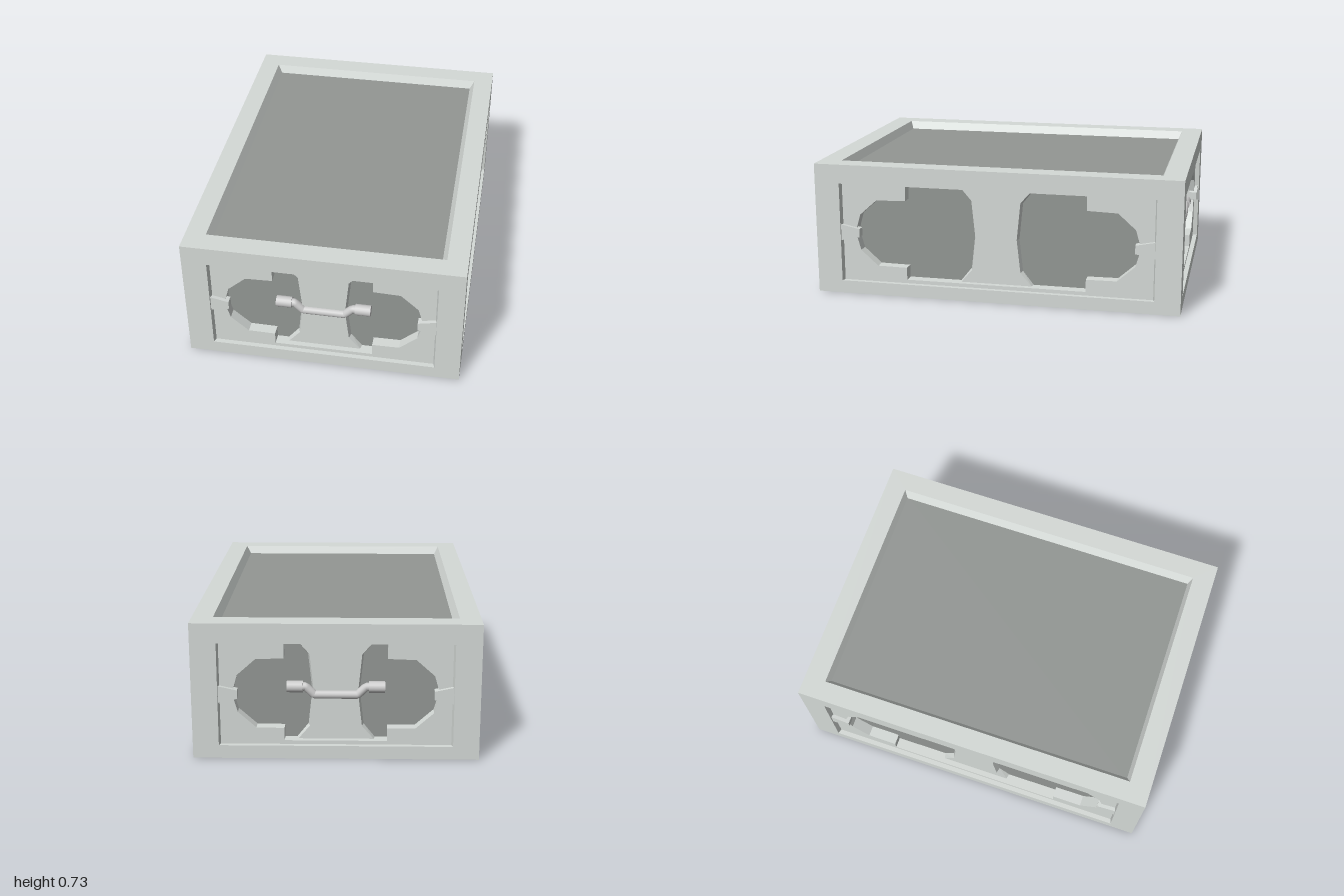
import * as THREE from 'three';
import { mergeVertices } from 'three/addons/utils/BufferGeometryUtils.js';

const W = 1.48, H = 0.725, D = 2, MID = 0.345;
// Depths below the outer wall: surround, centre panel, dark body
const SURROUND = 0.026, PANEL = 0.055, CORE = 0.085;
const light = new THREE.MeshStandardMaterial({ color: 0xd5dad7 });
const dark = new THREE.MeshStandardMaterial({ color: 0x939794 });
const metal = new THREE.MeshStandardMaterial({ color: 0xcccccc });

function add(parent, name, geometry, material = light) {
  const mesh = new THREE.Mesh(geometry, material);
  mesh.name = name;
  parent.add(mesh);
  return mesh;
}

// Loft through rectangles [x0, x1, y0, y1, z], outermost first, facing +z
function rectLoft(rects) {
  const corner = ([x0, x1, y0, y1, z], i) => [[x0, y0, z], [x1, y0, z], [x1, y1, z], [x0, y1, z]][i % 4];
  const pos = [];
  for (let r = 0; r < rects.length - 1; r++) {
    for (let i = 0; i < 4; i++) {
      const a = corner(rects[r], i), b = corner(rects[r], i + 1);
      const c = corner(rects[r + 1], i + 1), d = corner(rects[r + 1], i);
      pos.push(...a, ...b, ...c, ...a, ...c, ...d);
    }
  }
  const g = new THREE.BufferGeometry();
  g.setAttribute('position', new THREE.Float32BufferAttribute(pos, 3));
  g.computeVertexNormals();
  return g;
}

const centred = (x, y, z) => [-x, x, -y, y, z];
const poly = (pts) => pts.map(([x, y]) => new THREE.Vector2(x, y));
const mirrorX = (pts) => [...pts, ...pts.map(([x, y]) => [-x, y]).reverse()];

function slab(pts, back, front, hole) {
  const shape = new THREE.Shape(poly(pts));
  if (hole) shape.holes.push(new THREE.Path(poly(hole)));
  return new THREE.ExtrudeGeometry(shape, { depth: back - front, bevelEnabled: false }).translate(0, 0, -back);
}

// One upright wall facing +z at z = 0
function wall(name, width, open, stepX, curveX, hipX, endX) {
  const g = new THREE.Group();
  g.name = name;
  const half = width / 2, lo = 0.07, hi = 0.62, inset = 0.008;
  add(g, 'wallFrame', rectLoft([
    [-half, half, 0, H, 0],
    [-open, open, lo, hi, 0],
    [-open + inset, open - inset, lo, hi - inset / 2, -SURROUND],
  ]));

  // Surround with one stepped opening
  const outline = mirrorX([
    [stepX, 0.09], [stepX, 0.158], [curveX, 0.16], [hipX, 0.245], [endX, 0.315],
    [endX, 0.375], [hipX, 0.445], [curveX, 0.53], [stepX, 0.535], [stepX, 0.615],
  ]);
  add(g, 'surround', slab([[-open, lo], [open, lo], [open, hi], [-open, hi]], CORE, SURROUND, outline));

  // Waisted centre panel with chamfered sides
  const waist = mirrorX([
    [0.21, 0.08], [0.143, 0.165], [0.123, MID], [0.143, 0.545], [0.207, 0.625],
  ]);
  add(g, 'centrePanel', new THREE.ExtrudeGeometry(new THREE.Shape(poly(waist)), {
    depth: 0.01, bevelThickness: CORE - PANEL, bevelSize: 0.009, bevelOffset: -0.009, bevelSegments: 1,
  }).translate(0, 0, -CORE - 0.01));

  // Tapered clips between frame and opening
  for (const s of [-1, 1]) {
    const tip = s * (endX - 0.02);
    add(g, 'clip', slab([
      [s * open, MID - 0.045], [s * open, MID + 0.045], [tip, MID + 0.023], [tip, MID - 0.023],
    ], 0.05, 0.006));
  }
  return g;
}

// Dropped bar with thicker grips at both ends
function handle() {
  const g = new THREE.Group();
  g.name = 'handle';
  const path = new THREE.CurvePath();
  const pts = [[-0.2, 0.375], [-0.155, 0.375], [-0.112, 0.333], [0.112, 0.333], [0.155, 0.375], [0.2, 0.375]]
    .map(([x, y]) => new THREE.Vector3(x, y, 0));
  for (let i = 0; i < pts.length - 1; i++) path.add(new THREE.LineCurve3(pts[i], pts[i + 1]));
  add(g, 'bar', new THREE.TubeGeometry(path, 60, 0.022, 16), metal);
  for (const s of [-1, 1]) {
    const grip = add(g, 'grip', new THREE.CylinderGeometry(0.03, 0.03, 0.083, 20), metal);
    grip.rotation.z = Math.PI / 2;
    grip.position.set(s * 0.211, 0.375, 0);
  }
  g.position.z = -0.055;
  return g;
}

export function createModel() {
  const crate = new THREE.Group();
  crate.name = 'crate';

  // Dark inner body seen through all openings
  add(crate, 'innerBody', new THREE.BoxGeometry(W - 2 * CORE, H - 0.075, D - 2 * CORE), dark)
    .position.y = 0.03 + (H - 0.075) / 2;

  // Four walls, the short ones carrying handles
  for (let i = 0; i < 4; i++) {
    const short = i % 2 === 0;
    const side = short
      ? wall(i ? 'backWall' : 'frontWall', W, 0.605, 0.265, 0.41, 0.505, 0.525)
      : wall(i === 1 ? 'leftWall' : 'rightWall', D, 0.862, 0.495, 0.66, 0.755, 0.775);
    if (short) side.add(handle());
    const a = i * Math.PI / 2, r = (short ? D : W) / 2;
    side.rotation.y = a;
    side.position.set(Math.sin(a) * r, 0, Math.cos(a) * r);
    crate.add(side);
  }

  // Top rim with sloped inner edge, and smooth shallow dished base rim
  const top = add(crate, 'topRim', rectLoft([
    centred(W / 2, D / 2, 0), centred(0.63, 0.882, 0), centred(0.604, 0.862, -0.046),
  ]));
  top.rotation.x = -Math.PI / 2;
  top.position.y = H;
  const dish = rectLoft([centred(W / 2, D / 2, 0), centred(0.54, 0.8, -0.031)]);
  const smoothDish = mergeVertices(dish.deleteAttribute('normal'));
  smoothDish.computeVertexNormals();
  add(crate, 'baseRim', smoothDish).rotation.x = Math.PI / 2;
  return crate;
}
